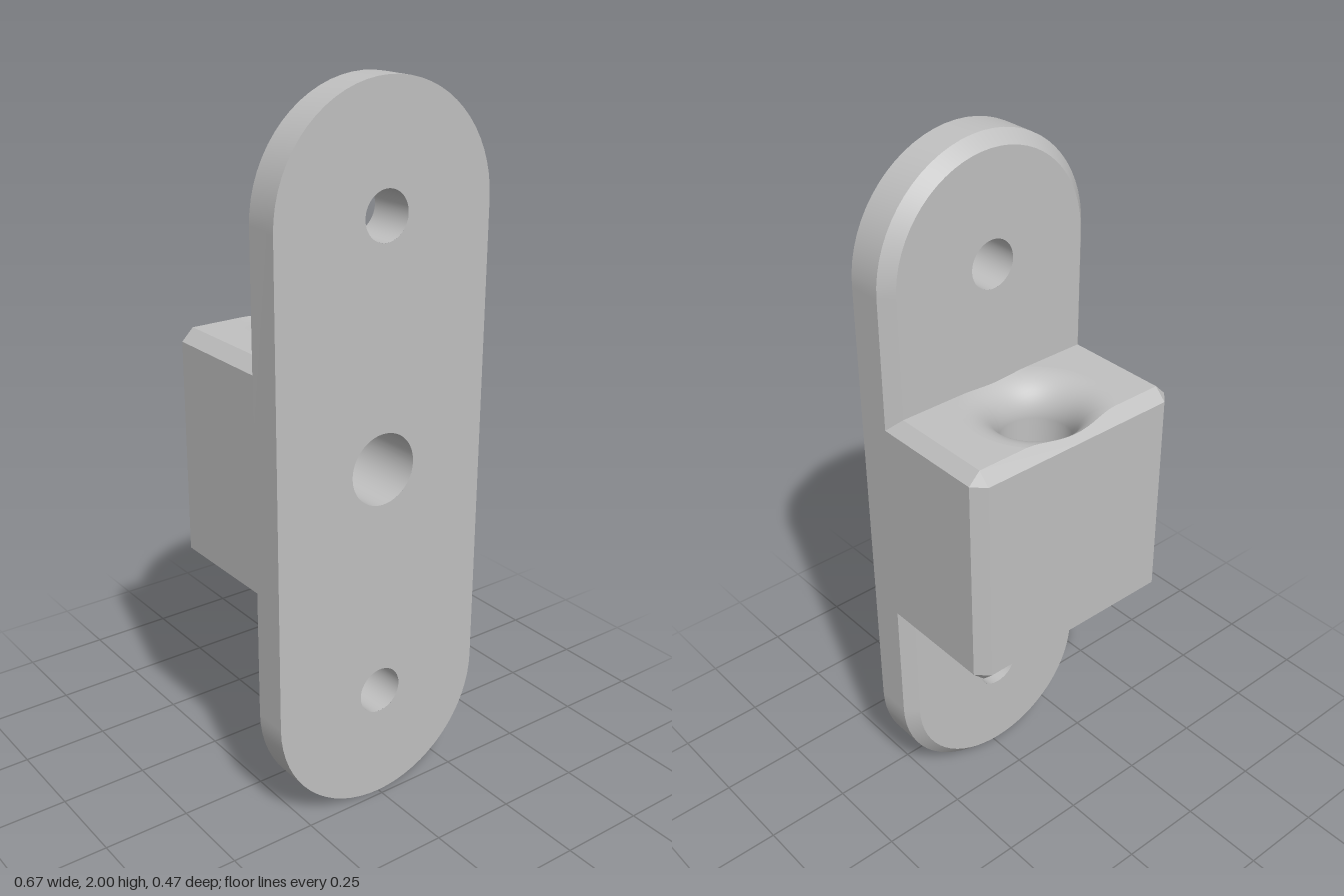
import * as THREE from 'three';

const grey = new THREE.MeshStandardMaterial({ color: 0xc0c0c0 });
grey.name = 'plain grey';

const R = 1 / 3, CH = 1 / 30;           // half width, chamfer
const FRONT = 0.2333, STEP = 0.1333, FACE = 0.1; // plate depths in z
const BACK = -0.2333, BORE_Z = -0.0667, BORE = 0.1, FILLET = 0.1;
const SCREW = 0.0667;
const V = (x, y, z) => new THREE.Vector3(x, y, z);

function add(group, name, geometry) {
  const mesh = new THREE.Mesh(geometry, grey);
  mesh.name = name;
  group.add(mesh);
  return mesh;
}

// Smooth skin over closed rings: point(i, j) for ring position i and row j
function skin(cols, rows, point, flip = false) {
  const pos = [], index = [];
  for (let j = 0; j < rows; j++)
    for (let i = 0; i < cols; i++) pos.push(...point(i, j).toArray());
  for (let j = 0; j < rows - 1; j++)
    for (let i = 0; i < cols; i++) {
      const n = (i + 1) % cols;
      const a = j * cols + i, b = j * cols + n, c = a + cols, d = b + cols;
      if (flip) index.push(a, c, b, b, c, d);
      else index.push(a, b, c, b, d, c);
    }
  const g = new THREE.BufferGeometry();
  g.setAttribute('position', new THREE.Float32BufferAttribute(pos, 3));
  g.setIndex(index);
  g.computeVertexNormals();
  return g;
}

// Flat faces, each turned to look away from the block's middle
function flatFaces(faces) {
  const pos = [], mid = V(0, 1, 0);
  for (const { pts, concave } of faces) {
    const tris = concave
      ? THREE.ShapeUtils.triangulateShape(pts.map(p => new THREE.Vector2(p.x, p.z)), [])
      : pts.slice(2).map((_, k) => [0, k + 1, k + 2]);
    for (const t of tris) {
      const [a, b, c] = t.map(k => pts[k]);
      const n = b.clone().sub(a).cross(c.clone().sub(a));
      const out = n.dot(a.clone().sub(mid)) > 0;
      for (const p of out ? [a, b, c] : [a, c, b]) pos.push(p.x, p.y, p.z);
    }
  }
  const g = new THREE.BufferGeometry();
  g.setAttribute('position', new THREE.Float32BufferAttribute(pos, 3));
  g.computeVertexNormals();
  return g;
}

// Outline with two straight sides and round ends
function stadium(r) {
  const pts = [];
  for (const s of [1, -1])
    for (let k = 0; k <= 32; k++) {
      const a = (k / 32 - 0.5) * Math.PI + (s > 0 ? 0 : Math.PI);
      pts.push(new THREE.Vector2(r * Math.sin(a), 1 + s * 2 / 3 + r * Math.cos(a)));
    }
  return pts;
}

function plateFace(r) {
  const shape = new THREE.Shape(stadium(r));
  for (const [y, hole] of [[R, SCREW], [1, BORE], [2 - R, SCREW]]) {
    const path = new THREE.Path();
    path.absarc(0, y, hole, 0, Math.PI * 2, true);
    shape.holes.push(path);
  }
  return new THREE.ShapeGeometry(shape, 48);
}

function makePlate() {
  const plate = new THREE.Group();
  plate.name = 'mountingPlate';
  const outer = stadium(R), inner = stadium(R - CH);
  add(plate, 'plateFront', plateFace(R)).position.z = FRONT;
  const back = add(plate, 'plateBack', plateFace(R - CH));
  back.rotation.y = Math.PI;
  back.position.z = FACE;
  add(plate, 'plateRim', skin(outer.length, 2, (i, j) =>
    V(outer[i].x, outer[i].y, j ? STEP : FRONT)));
  add(plate, 'plateChamfer', skin(outer.length, 2, (i, j) => {
    const p = j ? inner[i] : outer[i];
    return V(p.x, p.y, j ? FACE : STEP);
  }));
  for (const y of [R, 2 - R])
    add(plate, 'screwHole', skin(48, 2, (i, j) => {
      const a = i / 48 * Math.PI * 2;
      return V(SCREW * Math.sin(a), y + SCREW * Math.cos(a), j ? FRONT : FACE);
    }));
  return plate;
}

// Angles round the bore, with exact stops where its mouth crosses the face edges
const MOUTH = BORE + FILLET;
const stops = [0, Math.acos((FACE - BORE_Z) / MOUTH), Math.PI / 2,
  Math.acos((BACK + CH - BORE_Z) / MOUTH), Math.PI];
const half = [0];
for (let k = 1; k < stops.length; k++)
  for (let m = 1; m <= 10; m++)
    half.push(stops[k - 1] + (stops[k] - stops[k - 1]) * m / 10);
const angles = [...half, ...half.slice(1, -1).reverse().map(a => -a)];

// Point on the rounded mouth, with height measured from the block's middle
function filletPoint(a, phi) {
  const r = MOUTH - FILLET * Math.cos(phi);
  return V(r * Math.sin(a), R - FILLET + FILLET * Math.sin(phi), BORE_Z + r * Math.cos(a));
}

// How far the mouth runs before it meets the top, the chamfer or the plate
function filletEnd(a) {
  const inside = phi => {
    const p = filletPoint(a, phi);
    return p.z <= FACE + 1e-7 && p.y <= R - Math.max(0, BACK + CH - p.z) + 1e-7;
  };
  let lo = 0, hi = Math.PI / 2;
  if (inside(hi)) return hi;
  for (let k = 0; k < 40; k++) {
    const m = (lo + hi) / 2;
    if (inside(m)) lo = m; else hi = m;
  }
  return lo;
}

function makeBlock() {
  const block = new THREE.Group();
  block.name = 'block';
  const ends = angles.map(filletEnd);
  const rim = half.map(a => filletPoint(a, filletEnd(a)));
  const x1 = R - CH, z1 = BACK + CH, h = R - CH;

  // Outer faces
  const faces = [{ pts: [V(-x1, 1 - h, BACK), V(x1, 1 - h, BACK), V(x1, 1 + h, BACK), V(-x1, 1 + h, BACK)] }];
  for (const sx of [1, -1]) {
    const side = (x, y, z) => V(sx * x, 1 + y, z);
    faces.push({ pts: [side(R, -h, z1), side(R, h, z1), side(R, h, STEP), side(R, -h, STEP)] });
    faces.push({ pts: [side(R, -h, z1), side(R, h, z1), side(x1, h, BACK), side(x1, -h, BACK)] });
    for (const sy of [1, -1]) {
      const P = (x, y, z) => side(x, sy * y, z);
      faces.push({ pts: [P(x1, R, z1), P(x1, R, FACE), P(R, h, STEP), P(R, h, z1)] });
      faces.push({ pts: [P(x1, R, z1), P(x1, h, BACK), P(R, h, z1)] });
      // End face beside the bore mouth
      const arc = rim.slice(10, 31).map(p => P(p.x, R, p.z));
      faces.push({ concave: true, pts: [P(x1, R, z1), P(x1, R, FACE), ...arc] });
      // Half of the back chamfer, cut by the bore mouth
      const bite = rim.slice(30).map(p => P(Math.max(p.x, 0), p.y, p.z));
      faces.push({ concave: true, pts: [P(x1, R, z1), ...bite, P(0, h, BACK), P(x1, h, BACK)] });
    }
  }
  add(block, 'blockFaces', flatFaces(faces));

  // Vertical bore with rounded mouths, open where the front tunnel enters
  for (const s of [1, -1])
    add(block, s > 0 ? 'upperBore' : 'lowerBore', skin(angles.length, 14, (i, j) => {
      const a = angles[i];
      if (j === 0) {
        const y = BORE * Math.max(0, Math.cos(a));
        return V(BORE * Math.sin(a), 1 + s * y, BORE_Z + BORE * Math.cos(a));
      }
      const p = filletPoint(a, ends[i] * (j - 1) / 12);
      return V(p.x, 1 + s * p.y, p.z);
    }, s > 0));

  // Tunnel from the front into the bore
  add(block, 'frontTunnel', skin(angles.length, 2, (i, j) => {
    const c = Math.cos(angles[i]);
    return V(BORE * Math.sin(angles[i]), 1 + BORE * c, j ? FRONT : BORE_Z + BORE * Math.abs(c));
  }));
  return block;
}

export function createModel() {
  const model = new THREE.Group();
  model.name = 'mountingBracket';
  model.add(makePlate(), makeBlock());
  return model;
}
